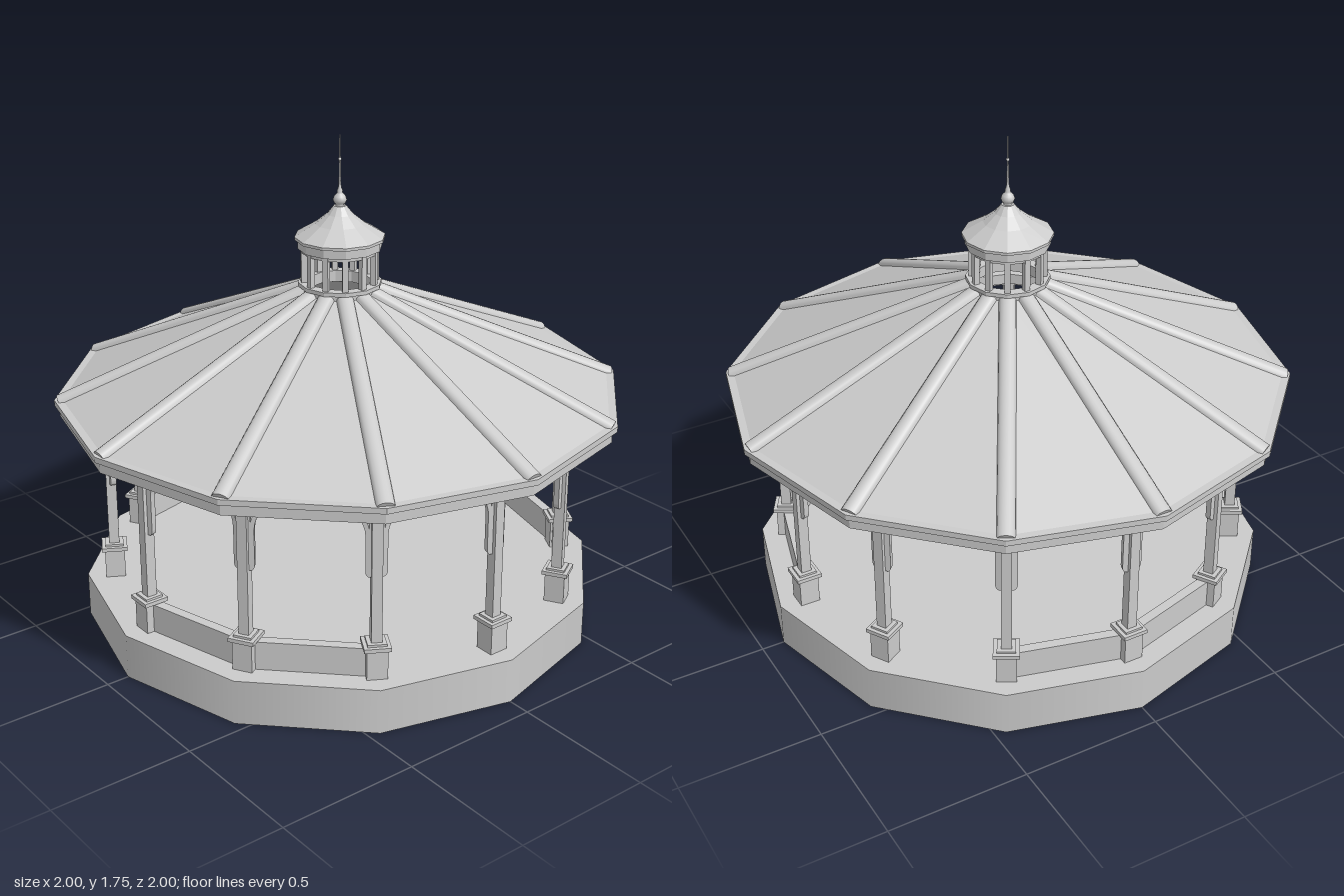
import * as THREE from 'three';
import { toCreasedNormals } from 'three/addons/utils/BufferGeometryUtils.js';

const SIDES = 12, STEP = Math.PI / 6, POST_R = 0.82;
const smooth = new THREE.MeshStandardMaterial({ color: 0xcccccc });
const flat = new THREE.MeshStandardMaterial({ color: 0xcccccc, flatShading: true });
const sheet = new THREE.MeshStandardMaterial({ color: 0xcccccc, side: THREE.DoubleSide });

function add(parent, name, geo, mat, x = 0, y = 0, z = 0) {
  const m = new THREE.Mesh(geo, mat);
  m.name = name;
  m.position.set(x, y, z);
  parent.add(m);
  return m;
}

// Box from height y0 to y1
function box(parent, name, w, y0, y1, d, z) {
  return add(parent, name, new THREE.BoxGeometry(w, y1 - y0, d), flat, 0, (y0 + y1) / 2, z);
}

// Profile of [radius, height] points, running up the outside
function lathe(parent, name, pts, mat = flat, segs = SIDES) {
  const g = new THREE.LatheGeometry(pts.map(([r, y]) => new THREE.Vector2(r, y)), segs);
  return add(parent, name, g, mat);
}

// Closed ring with rectangular section
function ring(parent, name, r0, r1, y0, y1) {
  return lathe(parent, name, [[r0, y0], [r1, y0], [r1, y1], [r0, y1], [r0, y0]]);
}

// Arched corner brace with an open spandrel, starting at the post centre line
function bracketGeometry() {
  const s = new THREE.Shape();
  s.moveTo(0.01, 0.52);
  s.lineTo(0.026, 0.52);
  s.quadraticCurveTo(0.035, 0.525, 0.035, 0.54);
  s.lineTo(0.035, 0.66);
  s.bezierCurveTo(0.035, 0.72, 0.075, 0.757, 0.135, 0.759);
  s.quadraticCurveTo(0.148, 0.764, 0.15, 0.786);
  s.lineTo(0.01, 0.786);
  s.closePath();
  const h = new THREE.Path();
  h.moveTo(0.023, 0.69);
  h.lineTo(0.023, 0.772);
  h.lineTo(0.1, 0.772);
  h.bezierCurveTo(0.065, 0.762, 0.033, 0.735, 0.023, 0.69);
  s.holes.push(h);
  const g = new THREE.ExtrudeGeometry(s, { depth: 0.02, bevelEnabled: false, curveSegments: 8 });
  g.translate(0, 0, -0.01);
  return toCreasedNormals(g, 0.6);
}

export function createModel() {
  const model = new THREE.Group();
  model.name = 'bandstand';

  // Hollow platform: open skirt with a floor on top
  add(model, 'platformSkirt', new THREE.CylinderGeometry(0.92, 0.92, 0.16, SIDES, 1, true), sheet, 0, 0.08, 0);
  const floor = new THREE.CircleGeometry(0.92, SIDES);
  floor.rotateX(-Math.PI / 2);
  add(model, 'floor', floor, sheet, 0, 0.16, 0);

  // Posts on pedestals
  for (let i = 0; i < SIDES; i++) {
    const post = new THREE.Group();
    post.name = 'post';
    post.rotation.y = i * STEP;
    box(post, 'pedestal', 0.07, 0.161, 0.268, 0.07, POST_R);
    box(post, 'pedestalCap', 0.09, 0.266, 0.28, 0.09, POST_R);
    box(post, 'postFoot', 0.064, 0.28, 0.288, 0.064, POST_R);
    box(post, 'shaft', 0.036, 0.286, 0.8, 0.036, POST_R);
    model.add(post);
  }

  // Bays between posts: a pair of braces each, low walls in pairs of bays
  const brace = bracketGeometry();
  const apothem = POST_R * Math.cos(STEP / 2), half = POST_R * Math.sin(STEP / 2);
  for (let k = 0; k < SIDES; k++) {
    const bay = new THREE.Group();
    bay.name = 'bay';
    bay.rotation.y = Math.PI / 2 - (k + 0.5) * STEP;
    for (const side of [-1, 1]) {
      add(bay, 'brace', brace, smooth, side * half, 0, apothem).scale.x = -side;
    }
    if (k % 4 < 2) box(bay, 'lowWall', half * 2 - 0.03, 0.161, 0.263, 0.035, apothem);
    model.add(bay);
  }

  // Ring beam carried by the posts
  ring(model, 'ringBeam', 0.795, 0.845, 0.783, 0.825);

  // Roof shell with stepped eave and a flat rim around the slopes
  lathe(model, 'roof', [
    [0.945, 0.785], [0.983, 0.785], [0.983, 0.826], [1, 0.826], [1, 0.846], [0.972, 0.847],
    [0.13, 1.206], [0.11, 1.196], [0.945, 0.835], [0.945, 0.785],
  ]);

  // Half-round hip ribs lying on the roof
  const low = new THREE.Vector2(0.982, 0.84), high = new THREE.Vector2(0.125, 1.204);
  const ribGeo = new THREE.CylinderGeometry(0.03, 0.03, low.distanceTo(high), 8, 1, false, -Math.PI / 2, Math.PI);
  ribGeo.scale(1, 1, 0.75);
  ribGeo.rotateX(-Math.atan2(low.x - high.x, high.y - low.y));
  const ribShape = toCreasedNormals(ribGeo, 0.8);
  for (let i = 0; i < SIDES; i++) {
    const rib = new THREE.Group();
    rib.name = 'hipRib';
    rib.rotation.y = i * STEP;
    add(rib, 'rib', ribShape, smooth, 0, (low.y + high.y) / 2, (low.x + high.x) / 2);
    model.add(rib);
  }

  // Lantern
  const lantern = new THREE.Group();
  lantern.name = 'lantern';
  model.add(lantern);
  ring(lantern, 'lanternCurb', 0.11, 0.135, 1.195, 1.226);
  ring(lantern, 'lanternSill', 0.108, 0.146, 1.222, 1.236);
  for (let i = 0; i < SIDES; i++) {
    const bar = new THREE.Group();
    bar.name = 'lanternBar';
    bar.rotation.y = i * STEP;
    box(bar, 'bar', 0.02, 1.232, 1.36, 0.02, 0.125);
    lantern.add(bar);
  }
  ring(lantern, 'lanternHead', 0.108, 0.135, 1.343, 1.362);
  ring(lantern, 'lanternCornice', 0.105, 0.146, 1.356, 1.39);
  lathe(lantern, 'lanternRoof', [
    [0, 1.388], [0.157, 1.388], [0.157, 1.398], [0.085, 1.442], [0.045, 1.475],
    [0.022, 1.504], [0, 1.504],
  ]);

  // Finial and spike
  lathe(lantern, 'finial', [
    [0.022, 1.495], [0.016, 1.503], [0.013, 1.508], [0.02, 1.514], [0.024, 1.525],
    [0.02, 1.537], [0.012, 1.545], [0.009, 1.55], [0.01, 1.556], [0.006, 1.566], [0.004, 1.58], [0.004, 1.6],
  ], smooth, 16);
  add(lantern, 'spike', new THREE.CylinderGeometry(0.002, 0.004, 0.158, 8), smooth, 0, 1.669, 0);
  add(lantern, 'spikeBead', new THREE.SphereGeometry(0.006, 10, 8), smooth, 0, 1.665, 0);

  return model;
}
